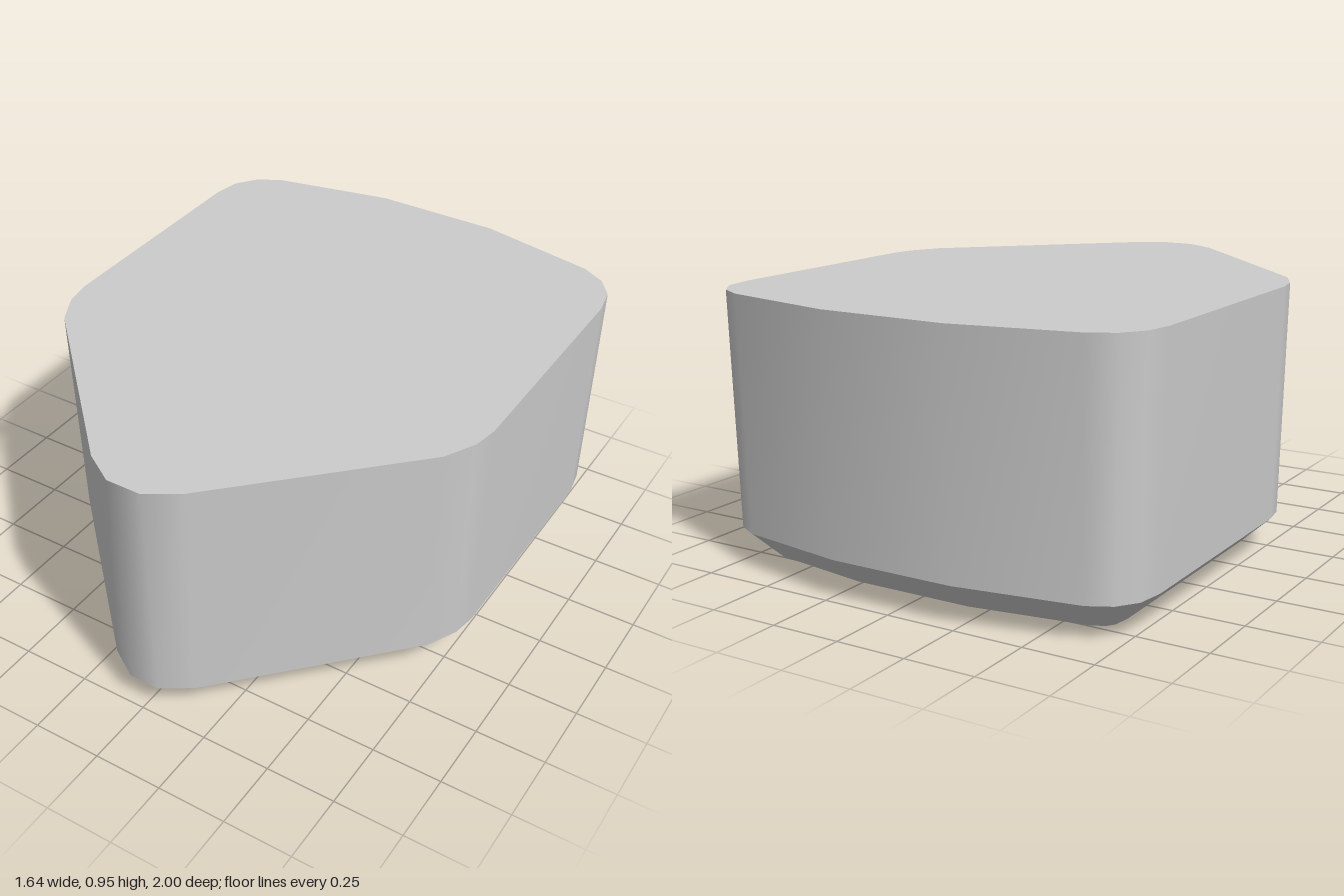
import * as THREE from 'three';

const material = new THREE.MeshStandardMaterial({ color: 0xcccccc });

// Right half of the top outline as [x, z], from back to front
const half = [
  [0.23, -1], [0.66, -0.912], [0.745, -0.865], [0.8, -0.79], [0.818, -0.69],
  [0.818, 0.16], [0.802, 0.25], [0.745, 0.36], [0.175, 0.93], [0.062, 1],
];
const outline = [...half, ...half.map(([x, z]) => [-x, z]).reverse()]
  .map(([x, z]) => new THREE.Vector2(x, z));

// Moves every edge of the outline inward by d, mitring the corners
function inset(points, d) {
  const n = points.length;
  const inward = (a, b) => new THREE.Vector2(a.y - b.y, b.x - a.x).normalize();
  return points.map((p, i) => {
    const n1 = inward(points[(i + n - 1) % n], p);
    const n2 = inward(p, points[(i + 1) % n]);
    return p.clone().addScaledVector(n1.clone().add(n2), d / (1 + n1.dot(n2)));
  });
}

// Slightly domed underside: dips toward the front tip and the back corners
function undersideHeight({ x, y: z }) {
  return z > -0.15
    ? 0.03 - 0.029 * (z + 0.15) ** 2
    : 0.03 - 0.012 * (x / 0.68) ** 2 * (z / 0.76) ** 2;
}

function makeMesh(name, points, index) {
  const geometry = new THREE.BufferGeometry().setFromPoints(points);
  geometry.setIndex(index);
  geometry.computeVertexNormals();
  const mesh = new THREE.Mesh(geometry, material);
  mesh.name = name;
  return mesh;
}

// Wall between two loops, smooth around the corners
function band(name, upper, lower) {
  const n = upper.length, index = [];
  for (let i = 0; i < n; i++) {
    const j = (i + 1) % n;
    index.push(i, j, n + j, i, n + j, n + i);
  }
  return makeMesh(name, [...upper, ...lower], index);
}

// Fan closing a loop
function cap(name, loop, centreY, up) {
  const n = loop.length, index = [];
  for (let i = 0; i < n; i++) {
    const j = (i + 1) % n;
    index.push(n, up ? j : i, up ? i : j);
  }
  return makeMesh(name, [...loop, new THREE.Vector3(0, centreY, 0)], index);
}

export function createModel() {
  const group = new THREE.Group();
  group.name = 'taperedBlock';

  const height = 0.955;
  const rimPoints = inset(outline, 0.018);
  const basePoints = inset(outline, 0.133);
  const baseY = basePoints.map(undersideHeight);

  const top = outline.map((p) => new THREE.Vector3(p.x, height, p.y));
  const rim = rimPoints.map((p, i) => new THREE.Vector3(p.x, baseY[i] + 0.107, p.y));
  const base = basePoints.map((p, i) => new THREE.Vector3(p.x, baseY[i], p.y));

  group.add(
    cap('topFace', top, height, true),
    band('sideWall', top, rim),
    band('lowerChamfer', rim, base),
    cap('underside', base, 0.029, false),
  );
  return group;
}
